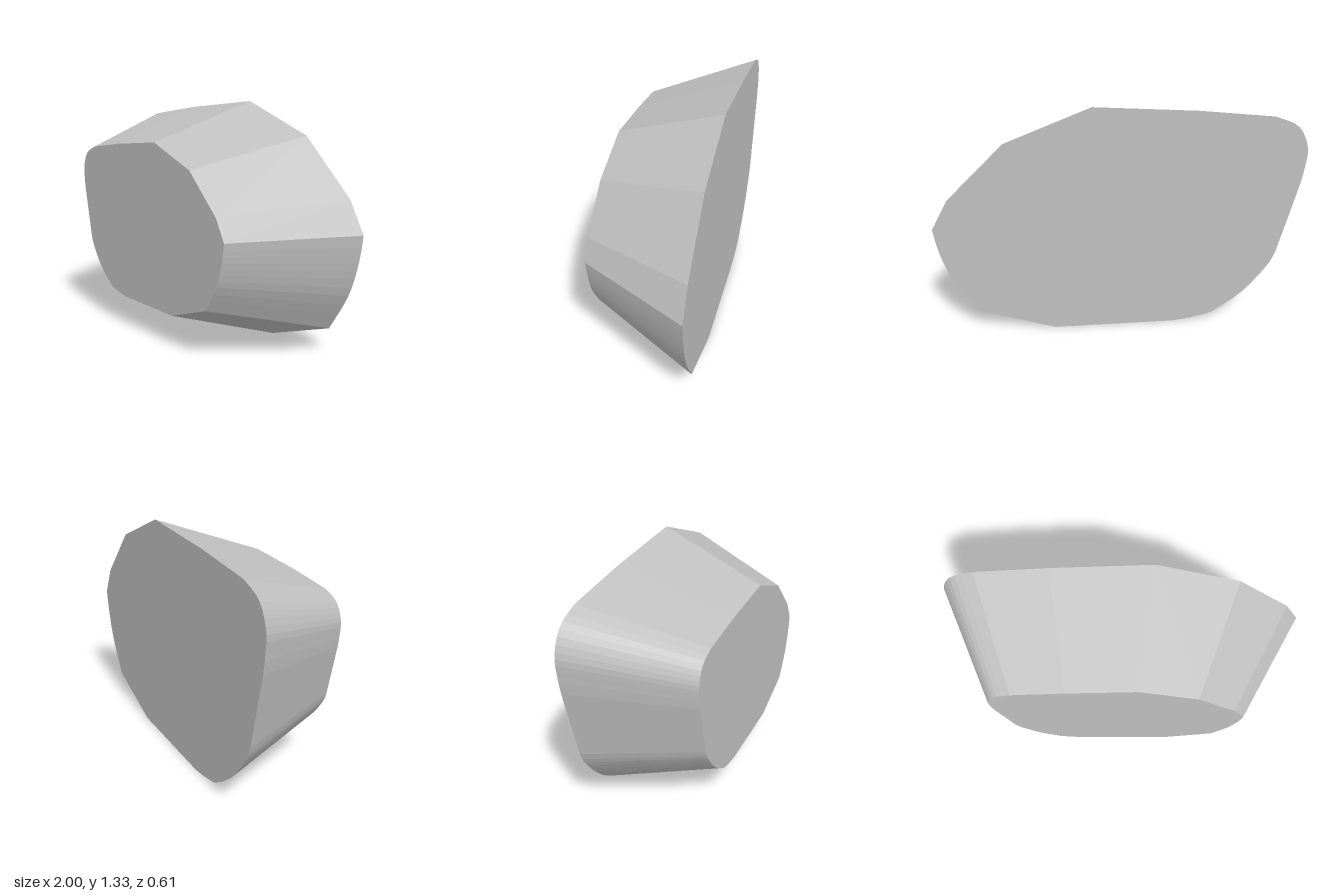
import * as THREE from 'three';

const HALF_DEPTH = 0.303;
const FRONT_SCALE = 0.7;
const FRONT_SHIFT = { x: -0.045, y: 0.178 };

const points = (list) => list.map(([x, y]) => new THREE.Vector2(x, y));

// Back outline, counter-clockwise from the right-hand corner
function backOutline() {
  const s = new THREE.Shape();
  s.moveTo(1, 0.672);
  s.lineTo(0.908, 0.84);
  s.lineTo(0.597, 1.147);
  s.lineTo(0.142, 1.328);
  s.lineTo(-0.405, 1.292);
  s.lineTo(-0.805, 1.248);
  // rounded upper corner
  s.splineThru(points([[-0.935, 1.19], [-0.998, 1.07], [-0.995, 0.95], [-0.982, 0.858]]));
  s.lineTo(-0.888, 0.44);
  // broad rounded lower corner
  s.splineThru(points([[-0.845, 0.345], [-0.715, 0.18], [-0.56, 0.06], [-0.5, 0.034], [-0.4, 0.012], [-0.313, 0]]));
  s.lineTo(0.37, 0);
  s.lineTo(0.795, 0.142);
  // gently bowed side
  s.splineThru(points([[0.918, 0.345], [0.977, 0.527], [1, 0.672]]));
  return s;
}

export function createModel() {
  const group = new THREE.Group();
  group.name = 'stone';

  const stoneGrey = new THREE.MeshStandardMaterial({ color: 0xc0c0c0 });
  stoneGrey.name = 'stone grey';

  const geometry = new THREE.ExtrudeGeometry(backOutline(), {
    depth: HALF_DEPTH * 2, bevelEnabled: false, curveSegments: 3,
  });
  geometry.translate(0, 0, -HALF_DEPTH);

  // Taper: shrink and shift the front outline
  const p = geometry.attributes.position;
  for (let i = 0; i < p.count; i++) {
    if (p.getZ(i) > 0) {
      p.setX(i, p.getX(i) * FRONT_SCALE + FRONT_SHIFT.x);
      p.setY(i, p.getY(i) * FRONT_SCALE + FRONT_SHIFT.y);
    }
  }
  geometry.computeVertexNormals();

  const body = new THREE.Mesh(geometry, stoneGrey);
  body.name = 'taperedStoneBody';
  group.add(body);
  return group;
}
